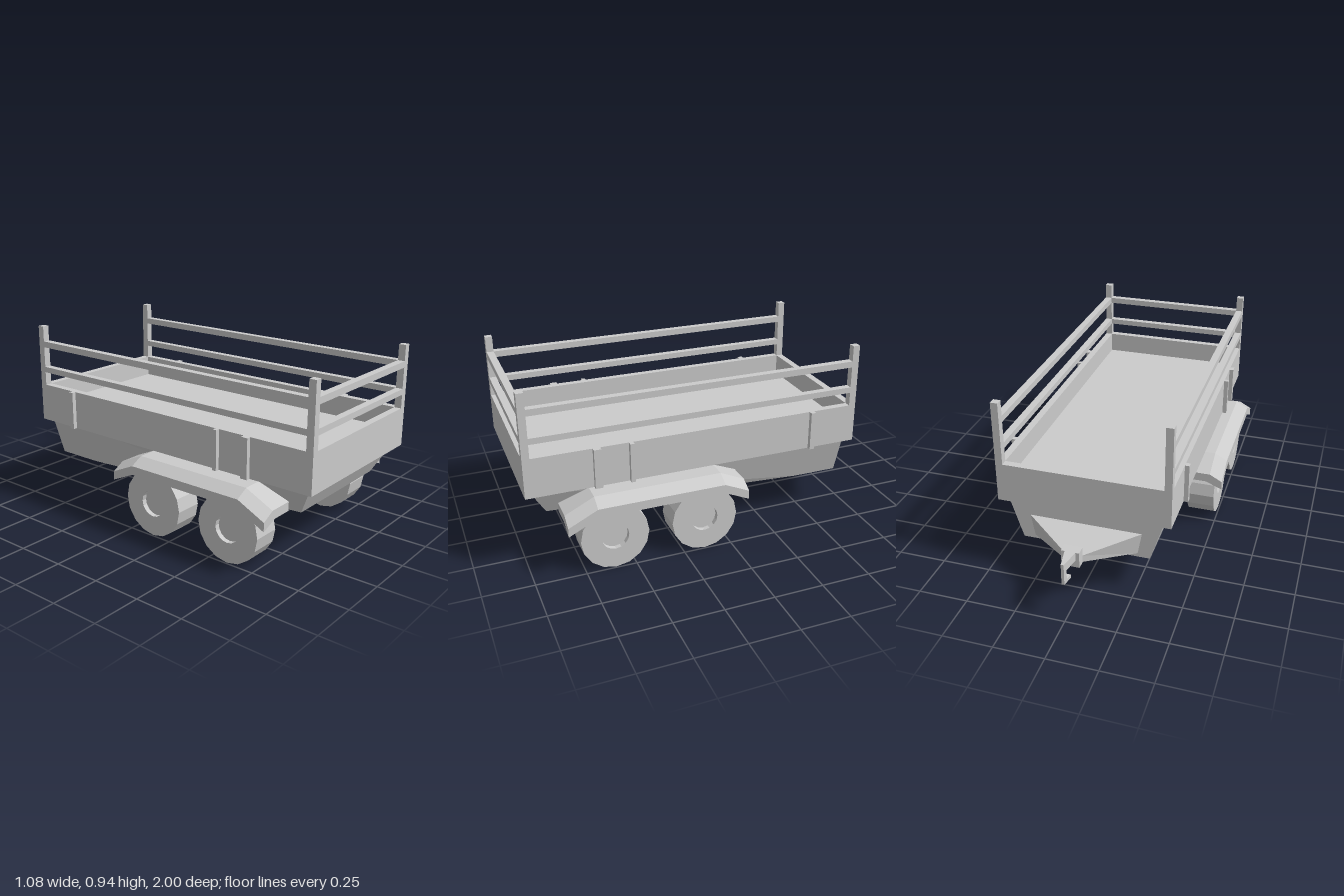
import * as THREE from 'three';

const material = new THREE.MeshStandardMaterial({ color: 0xcccccc, flatShading: true });

// Closed solid through a row of cross-sections with matching corners
function loft(sections) {
  const n = sections[0].length, tris = [];
  for (let i = 0; i < sections.length - 1; i++) {
    const a = sections[i], b = sections[i + 1];
    for (let j = 0; j < n; j++) {
      const k = (j + 1) % n;
      tris.push([a[j], a[k], b[k]], [a[j], b[k], b[j]]);
    }
  }
  const first = sections[0], last = sections[sections.length - 1];
  for (let j = 1; j < n - 1; j++) {
    tris.push([first[0], first[j + 1], first[j]], [last[0], last[j], last[j + 1]]);
  }
  // Turn the faces outward whichever way the loops run
  let volume = 0;
  for (const [p, q, r] of tris) {
    volume += new THREE.Vector3(...p).dot(new THREE.Vector3(...q).cross(new THREE.Vector3(...r)));
  }
  const points = tris.flatMap(([p, q, r]) => (volume < 0 ? [p, r, q] : [p, q, r])).flat();
  const geometry = new THREE.BufferGeometry();
  geometry.setAttribute('position', new THREE.Float32BufferAttribute(points, 3));
  geometry.computeVertexNormals();
  return geometry;
}

export function createModel() {
  const model = new THREE.Group();
  model.name = 'trailer';

  const add = (name, geometry, x = 0, y = 0, z = 0) => {
    const mesh = new THREE.Mesh(geometry, material);
    mesh.name = name;
    mesh.position.set(x, y, z);
    model.add(mesh);
    return mesh;
  };
  // Box given by its limits on each axis
  const box = (name, x0, x1, y0, y1, z0, z1) => add(name,
    new THREE.BoxGeometry(x1 - x0, y1 - y0, z1 - z0), (x0 + x1) / 2, (y0 + y1) / 2, (z0 + z1) / 2);
  const sideBox = (name, s, x0, x1, ...rest) =>
    box(name, Math.min(s * x0, s * x1), Math.max(s * x0, s * x1), ...rest);

  const W = 0.428, T = 0.036, FRONT = 1, BACK = -0.722, LOW = 0.42, RIM = 0.62;
  const rails = [[0.69, 0.72], [0.828, 0.86]];

  // Cargo bed
  box('bedFloor', -W + T, W - T, LOW, 0.51, BACK + T, FRONT - T);
  box('frontWall', -W + T, W - T, LOW, RIM, FRONT - T, FRONT);
  box('backWall', -W + T, W - T, LOW, RIM, BACK, BACK + T);
  for (const [y0, y1] of rails) box('frontRail', -W + T, W - T, y0, y1, FRONT - T, FRONT);

  // Tapered underbody
  const hullSection = (top, bottom, y, zTop, zBottom) => [
    [-top, LOW, zTop], [top, LOW, zTop], [bottom, y, zBottom], [-bottom, y, zBottom]];
  add('underbody', loft([
    hullSection(0.387, 0.325, 0.28, 0.965, 0.89),
    hullSection(0.387, 0.32, 0.205, -0.45, -0.45),
    hullSection(0.387, 0.32, 0.205, -0.688, -0.688),
  ]));

  // Wheel with a shallow round recess on both faces
  const h = 0.072, r = 0.17, hub = 0.068, d = 0.025;
  const wheel = new THREE.LatheGeometry([
    [0, -h + d], [hub, -h + d], [hub, -h], [r, -h], [r, h], [hub, h], [hub, h - d], [0, h - d],
  ].map(([x, y]) => new THREE.Vector2(x, y)), 16).rotateZ(Math.PI / 2);

  // Fender path from front to back: [z, top y]
  const fenderPath = [[0.835, 0.325], [0.69, 0.396], [0.05, 0.396], [-0.077, 0.338]];

  for (const s of [1, -1]) {
    sideBox('sideWall', s, W - T, W, LOW, RIM, BACK + T, FRONT - T);
    for (const [y0, y1] of rails) sideBox('sideRail', s, W - T, W, y0, y1, BACK + T, FRONT - T);
    sideBox('frontPost', s, W - T, W, LOW, 0.94, FRONT - T, FRONT);
    sideBox('backPost', s, W - T, W, LOW, 0.94, BACK, BACK + T);
    for (const [z0, z1] of [[-0.483, -0.457], [0.477, 0.498], [0.637, 0.673]]) {
      sideBox('sideBracket', s, W, 0.45, LOW, RIM, z0, z1);
    }
    for (const z of [0.6, 0.14]) add('wheel', wheel, s * 0.421, r, z);
    add('fender', loft(fenderPath.map(([z, y]) => [
      [0.345, y], [0.475, y], [0.54, y - 0.035],
      [0.54, y - 0.08], [0.475, y - 0.045], [0.345, y - 0.045],
    ].map(([x, py]) => [s * x, py, z]))));
  }

  // Drawbar narrowing towards the hitch
  add('drawbar', loft([
    [[-0.28, 0.338, -0.688], [0.28, 0.338, -0.688], [0.26, 0.225, -0.688], [-0.26, 0.225, -0.688]],
    [[-0.04, 0.285, -0.86], [0.04, 0.285, -0.86], [0.04, 0.25, -0.86], [-0.04, 0.25, -0.86]],
  ]));
  box('hitchBlock', -0.044, 0.044, 0.247, 0.328, -0.9, -0.853);

  // Hook profile (z, y), pinched towards its tip
  const profile = new THREE.Shape([
    [-0.9, 0.328], [-1, 0.328], [-1, 0.218], [-0.942, 0.218],
    [-0.942, 0.235], [-0.978, 0.235], [-0.978, 0.285], [-0.9, 0.285],
  ].map(([z, y]) => new THREE.Vector2(-z, y)));
  const hook = new THREE.ExtrudeGeometry(profile, { depth: 2, bevelEnabled: false })
    .translate(0, 0, -1).rotateY(Math.PI / 2);
  const p = hook.attributes.position;
  for (let i = 0; i < p.count; i++) {
    p.setX(i, p.getX(i) * THREE.MathUtils.mapLinear(p.getZ(i), -0.9, -1, 0.026, 0.007));
  }
  hook.computeVertexNormals();
  add('hitchHook', hook);

  return model;
}
